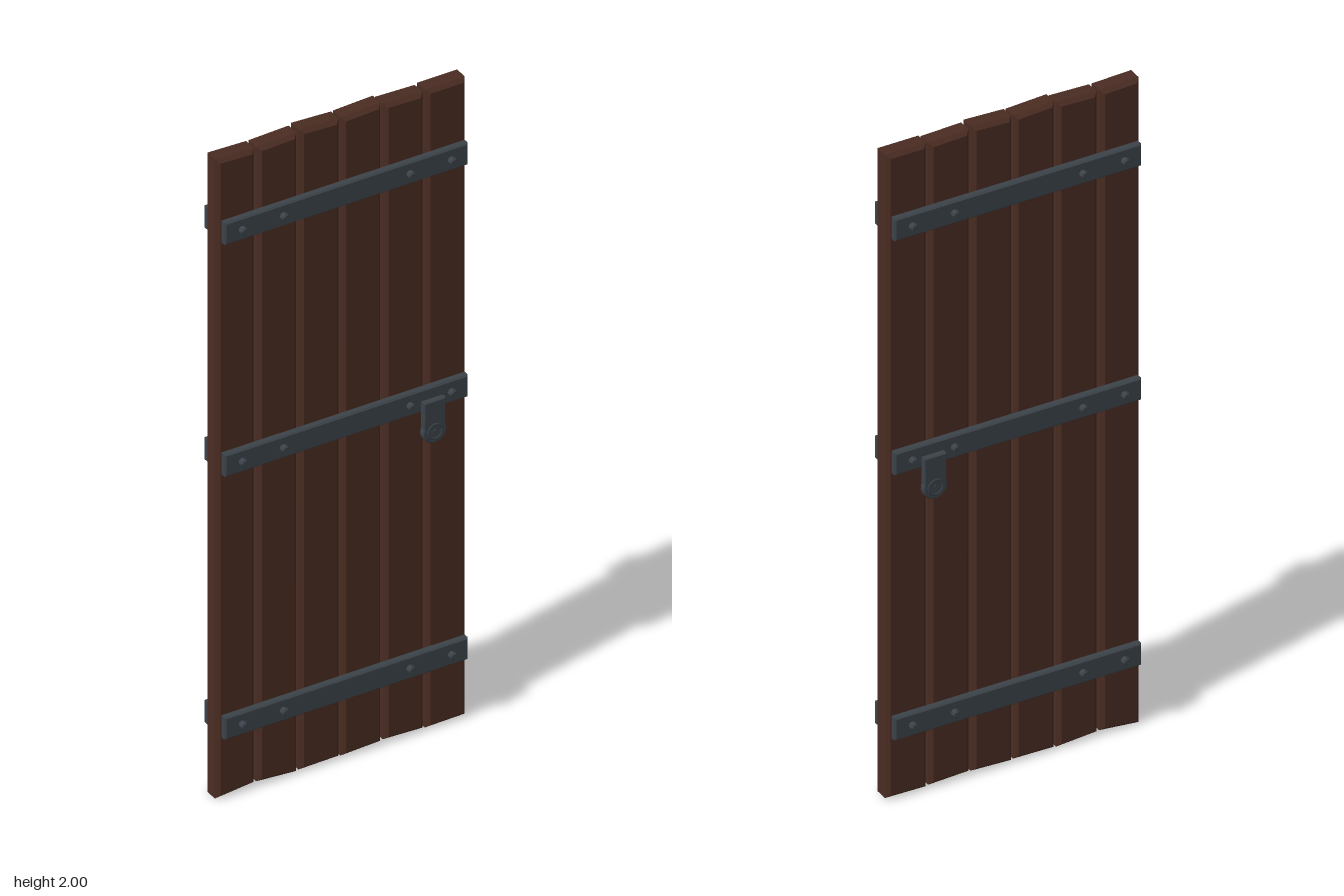
import * as THREE from 'three';

const wood = new THREE.MeshStandardMaterial({ name: 'dark brown wood', color: 0x4a2c22 });
const iron = new THREE.MeshStandardMaterial({ name: 'dark iron', color: 0x3b434a });

// Slab cut from an outline in x and y, chamfered on both faces, spanning z0 to z1.
function slab(shape, z0, z1, bevel) {
  const geo = new THREE.ExtrudeGeometry(shape, {
    depth: z1 - z0 - 2 * bevel, bevelEnabled: true, bevelThickness: bevel,
    bevelSize: bevel, bevelOffset: -bevel, bevelSegments: 1, curveSegments: 8,
  });
  return geo.translate(0, 0, z0 + bevel);
}

function polygon(points) {
  return new THREE.Shape(points.map(([x, y]) => new THREE.Vector2(x, y)));
}

function add(parent, name, geo, mat) {
  const mesh = new THREE.Mesh(geo, mat);
  mesh.name = name;
  parent.add(mesh);
  return mesh;
}

// Straps, rivets and latch for one face of the door, facing +z.
function ironwork() {
  const side = new THREE.Group();
  const rivetProfile = [[0, 0.069], [0.007, 0.069], [0.011, 0.065], [0.011, 0.05]]
    .reverse().map(([r, h]) => new THREE.Vector2(r, h));
  for (const y of [0.235, 1.053, 1.775]) {
    const outline = polygon([[-0.37, y - 0.034], [0.37, y - 0.034], [0.37, y + 0.034], [-0.37, y + 0.034]]);
    add(side, 'strap', slab(outline, 0.031, 0.054, 0.004), iron);
    for (const x of [-0.318, -0.193, 0.192, 0.318]) {
      const rivet = add(side, 'rivet', new THREE.LatheGeometry(rivetProfile, 8).toNonIndexed(), iron);
      rivet.geometry.computeVertexNormals();
      rivet.rotation.x = Math.PI / 2;
      rivet.position.set(x, y, 0);
    }
  }

  // Hanging latch plate with a rounded lower end
  const cx = 0.258, cy = 0.96, r = 0.036;
  const plate = new THREE.Shape();
  plate.moveTo(cx - 0.033, 1.055);
  plate.lineTo(cx - 0.033, cy + 0.014);
  plate.absarc(cx, cy, r, Math.PI - 0.4, Math.PI * 2 + 0.4, false);
  plate.lineTo(cx + 0.033, 1.055);
  plate.closePath();
  add(side, 'latchPlate', slab(plate, 0.053, 0.072, 0.003), iron);
  const ring = add(side, 'latchRing', new THREE.TorusGeometry(0.022, 0.004, 5, 16), iron);
  ring.position.set(cx, cy, 0.071);
  const pin = add(side, 'latchPin', new THREE.CylinderGeometry(0.007, 0.007, 0.006, 8), iron);
  pin.rotation.x = Math.PI / 2;
  pin.position.set(cx, cy, 0.071);
  return side;
}

export function createModel() {
  const door = new THREE.Group();
  door.name = 'plankDoor';

  // Planks: left x, right x, then bottom and top heights at each edge
  const planks = [
    [-0.38, -0.262, 0.004, 0.016, 1.994, 1.99],
    [-0.254, -0.133, 0.015, 0.006, 1.99, 1.994],
    [-0.126, -0.004, 0.008, 0.01, 2.0, 1.994],
    [0.002, 0.123, 0.008, 0.013, 1.995, 2.0],
    [0.13, 0.251, 0.015, 0.01, 1.994, 1.99],
    [0.258, 0.38, 0.008, 0.01, 1.994, 1.994],
  ];
  for (const [x0, x1, b0, b1, t0, t1] of planks) {
    const outline = polygon([[x0, b0], [x1, b1], [x1, t1], [x0, t0]]);
    add(door, 'plank', slab(outline, -0.03, 0.03, 0.011), wood);
  }

  const front = ironwork();
  front.name = 'frontIronwork';
  door.add(front);

  // Back ironwork is turned round, with its latch brought back to the same edge
  const back = ironwork();
  back.name = 'backIronwork';
  back.scale.z = -1;
  door.add(back);
  return door;
}
